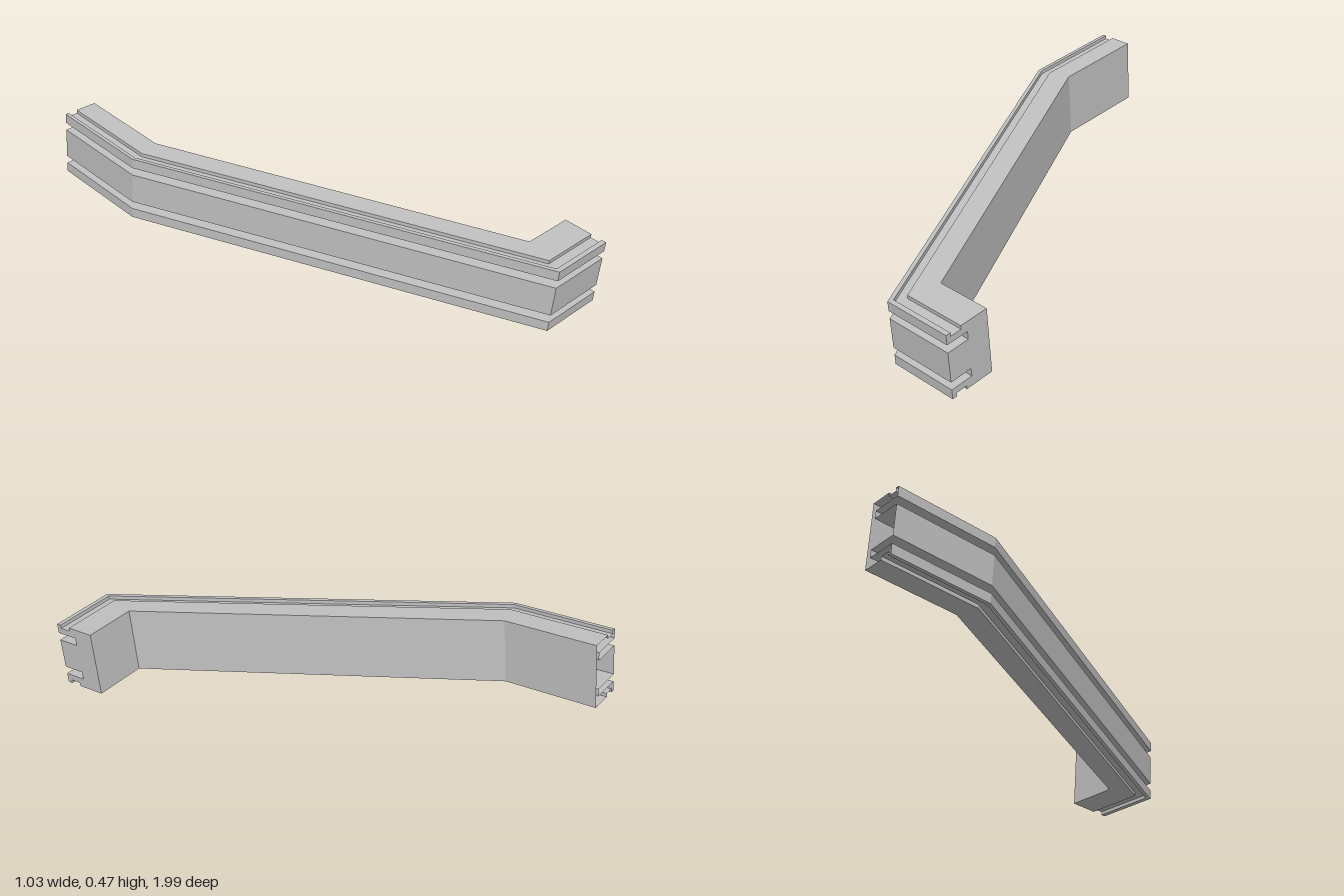
import * as THREE from 'three';

// Half profile as [depth column, height]; columns run from outer face (0) to back wall (4)
const half = [
  [4, 0.138], [2, 0.138], [2, 0.123], [1, 0.123], [1, 0.138], // back and top groove
  [0, 0.138], [0, 0.097], [3, 0.097], [3, 0.064], [0, 0.064], // lip and deep side slot
];
const profile = [...half, ...half.map(([c, v]) => [c, -v]).reverse()];

// Plan position [x, z] of every depth column at the ends and the two mitred corners
const stations = [
  [[0.51, 0.985], [0.51, 0.965], [0.51, 0.917], [0.51, 0.89], [0.51, 0.795]],
  [[0.22, 0.985], [0.229, 0.965], [0.247, 0.917], [0.295, 0.89], [0.285, 0.795]],
  [[-0.515, -0.557], [-0.5, -0.56], [-0.46, -0.567], [-0.39, -0.582], [-0.37, -0.592]],
  [[-0.515, -0.988], [-0.5, -0.988], [-0.46, -0.988], [-0.39, -0.988], [-0.37, -0.988]],
];

const pointAt = (s, [c, v]) => [stations[s][c][0], v, stations[s][c][1]];

function makeGeometry(corners) {
  const geo = new THREE.BufferGeometry();
  geo.setAttribute('position', new THREE.Float32BufferAttribute(corners.flat(), 3));
  geo.computeVertexNormals();
  return geo;
}

// Walls swept through the stations, left open at the rear end
function railGeometry() {
  const out = [];
  const n = profile.length;
  for (let s = 0; s < stations.length - 1; s++) {
    for (let j = 0; j < n; j++) {
      const p = profile[j], q = profile[(j + 1) % n];
      const a = pointAt(s, p), b = pointAt(s + 1, p);
      const c = pointAt(s, q), d = pointAt(s + 1, q);
      out.push(a, b, c, b, d, c);
    }
  }
  return makeGeometry(out);
}

// Flat cap closing the side end
function capGeometry() {
  const outline = profile.map(([c, v]) => new THREE.Vector2(-stations[0][c][1], v));
  const faces = THREE.ShapeUtils.triangulateShape(outline, []);
  return makeGeometry(faces.flatMap((f) => f.map((i) => pointAt(0, profile[i]))));
}

export function createModel() {
  const metal = new THREE.MeshStandardMaterial({ color: 0xc0c0c0, side: THREE.DoubleSide, flatShading: true });
  metal.name = 'light grey metal';
  const group = new THREE.Group();
  group.name = 'slottedRail';

  const parts = { railWalls: railGeometry(), endCap: capGeometry() };
  for (const [name, geo] of Object.entries(parts)) {
    // Slope the rail up towards the rear, with a slight sideways roll
    geo.rotateX(0.089);
    geo.rotateZ(-0.017);
    const mesh = new THREE.Mesh(geo, metal);
    mesh.name = name;
    group.add(mesh);
  }

  // Stand on the ground
  const box = new THREE.Box3().setFromObject(group);
  group.children.forEach((m) => m.geometry.translate(0, -box.min.y, 0));
  return group;
}
